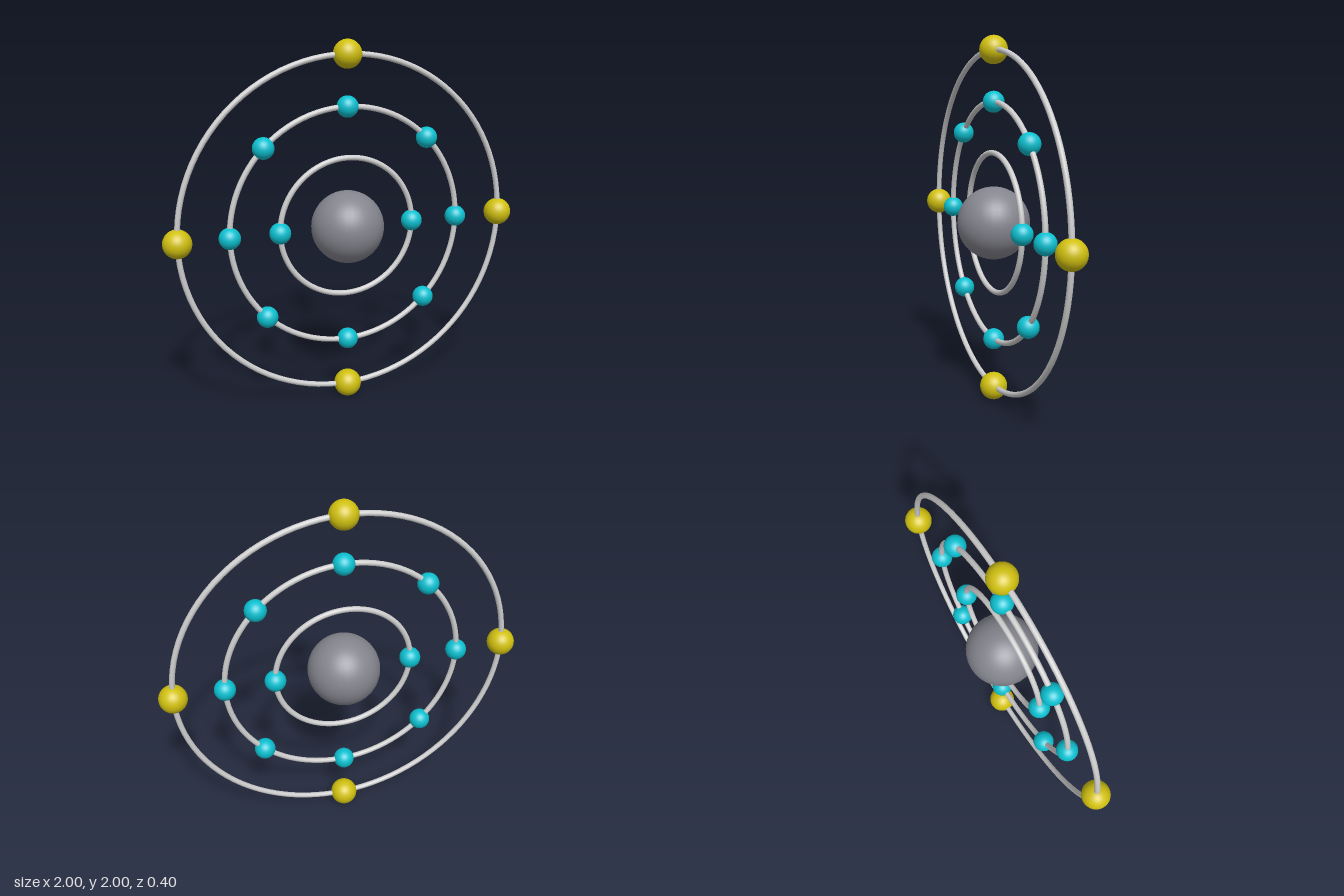
import * as THREE from 'three';

const CENTER_Y = 1;

export function createModel() {
  const model = new THREE.Group();
  const grey = new THREE.MeshStandardMaterial({ color: 0xcccccc });
  const paint = (color) => new THREE.MeshStandardMaterial({ color });
  const nucleusMat = paint(0x85858f);
  const teal = paint(0x0cc0d0);
  const yellow = paint(0xd0c010);

  // everything is built around the nucleus, then lifted onto the ground
  const atom = new THREE.Group();
  atom.name = 'atom';
  atom.position.y = CENTER_Y;
  model.add(atom);

  const addSphere = (parent, name, radius, material, x = 0, y = 0) => {
    const mesh = new THREE.Mesh(new THREE.SphereGeometry(radius, 32, 24), material);
    mesh.name = name;
    mesh.position.set(x, y, 0);
    parent.add(mesh);
  };

  addSphere(atom, 'nucleus', 0.198, nucleusMat);

  // orbit rings with evenly spaced electrons, starting on the +x side
  const shells = [
    { name: 'inner', radius: 0.38, count: 2, size: 0.058, material: teal },
    { name: 'middle', radius: 0.652, count: 8, size: 0.058, material: teal },
    { name: 'outer', radius: 0.924, count: 4, size: 0.076, material: yellow },
  ];
  for (const { name, radius, count, size, material } of shells) {
    const shell = new THREE.Group();
    shell.name = `${name}Shell`;
    const ring = new THREE.Mesh(new THREE.TorusGeometry(radius, 0.015, 16, 96), grey);
    ring.name = `${name}Orbit`;
    shell.add(ring);
    for (let i = 0; i < count; i++) {
      const a = (i / count) * Math.PI * 2;
      addSphere(shell, `${name}Electron${i + 1}`, size, material, radius * Math.cos(a), radius * Math.sin(a));
    }
    atom.add(shell);
  }
  return model;
}
